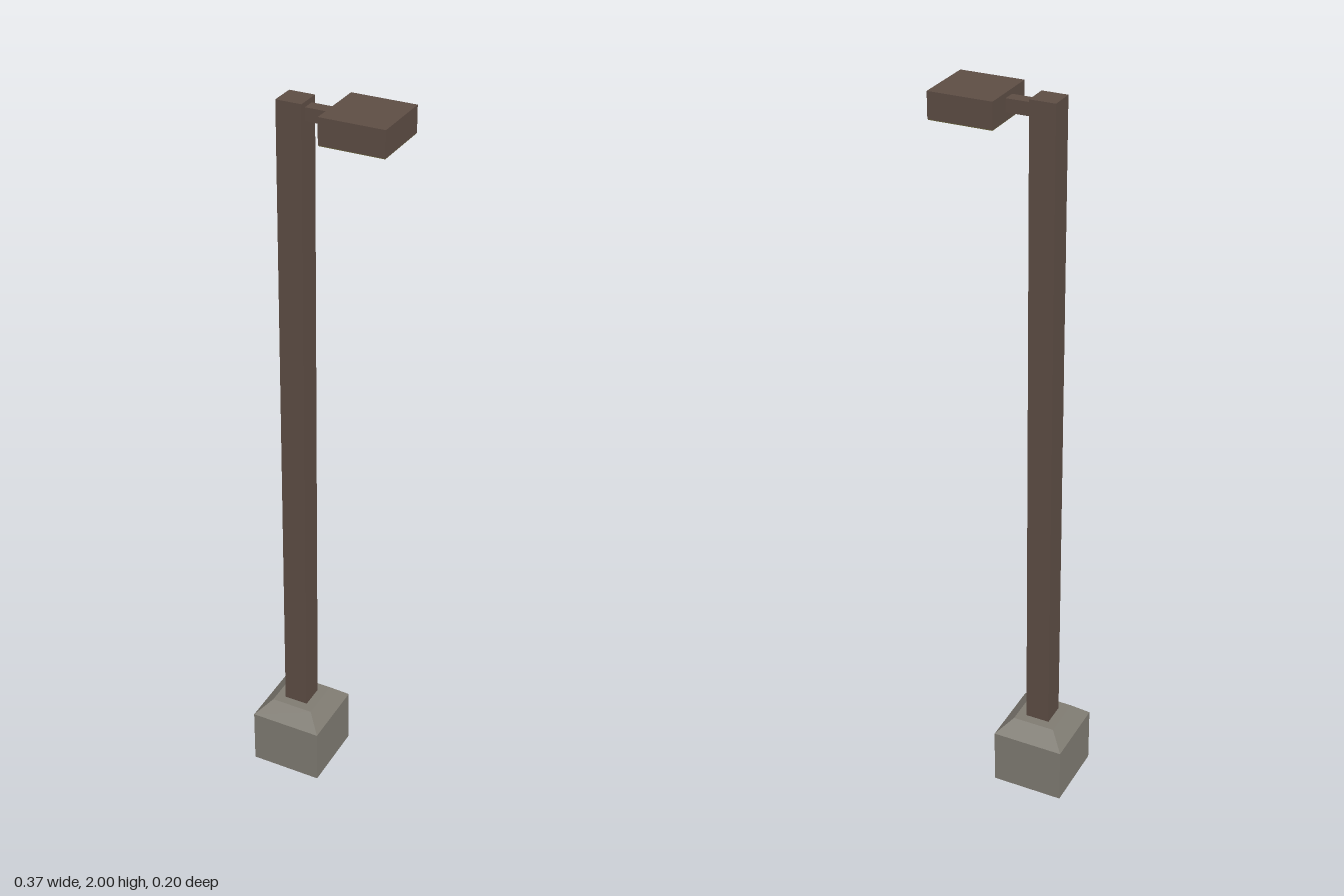
import * as THREE from 'three';

export function createModel() {
  const group = new THREE.Group();
  const material = (name, color) => {
    const m = new THREE.MeshStandardMaterial({ color });
    m.name = name;
    return m;
  };
  const concrete = material('concrete', 0x7f7b72);
  const bronze = material('bronze', 0x5d4d44);
  const glass = material('lampGlass', 0x6a643c);

  const add = (name, geometry, mat, x, y) => {
    const mesh = new THREE.Mesh(geometry, mat);
    mesh.name = name;
    mesh.position.set(x, y, 0);
    group.add(mesh);
  };
  // Box given by its x range, y range and depth, centred on z = 0
  const box = (name, mat, x0, x1, y0, y1, depth) =>
    add(name, new THREE.BoxGeometry(x1 - x0, y1 - y0, depth), mat, (x0 + x1) / 2, (y0 + y1) / 2);

  const postX = -0.0855;

  // Footing: square block with a chamfered cap
  box('footingBlock', concrete, postX - 0.101, postX + 0.101, 0, 0.162, 0.202);
  const cap = new THREE.CylinderGeometry(0.06 * Math.SQRT2, 0.101 * Math.SQRT2, 0.041, 4)
    .rotateY(Math.PI / 4)
    .toNonIndexed();
  cap.computeVertexNormals();
  add('footingCap', cap, concrete, postX, 0.1825);

  // Post and short arm
  box('post', bronze, postX - 0.034, postX + 0.034, 0.203, 2, 0.068);
  box('arm', bronze, postX + 0.034, 0.0165, 1.953, 1.987, 0.034);

  // Lamp head with a light panel covering its underside
  box('lampHead', bronze, 0.0165, 0.1865, 1.932, 2, 0.17);
  box('lampPanel', glass, 0.0175, 0.1855, 1.93, 1.933, 0.168);

  return group;
}
